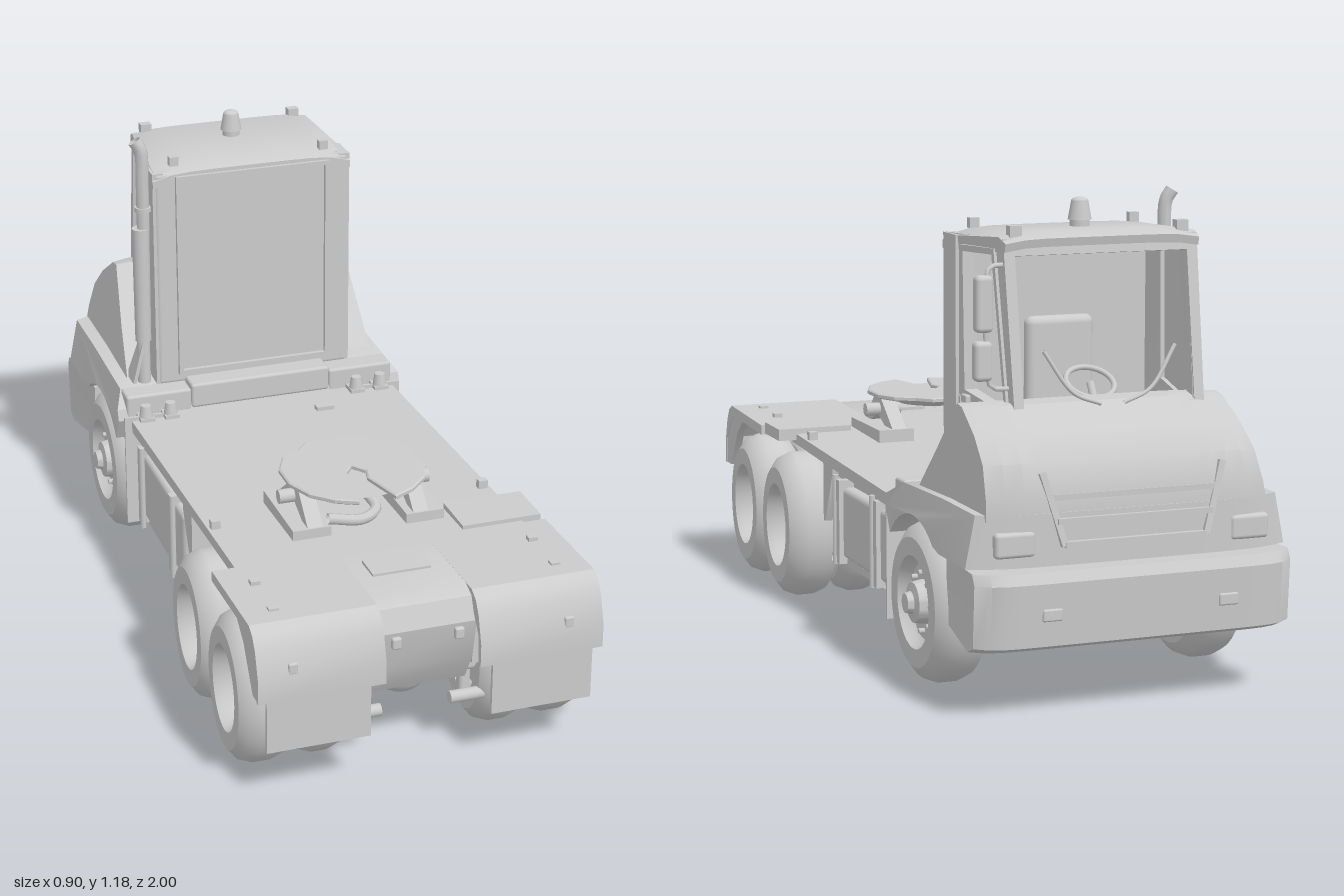
import * as THREE from 'three';
import { toCreasedNormals } from 'three/addons/utils/BufferGeometryUtils.js';
import { RoundedBoxGeometry } from 'three/addons/geometries/RoundedBoxGeometry.js';

export function createModel() {
  const root = new THREE.Group();
  const mat = new THREE.MeshStandardMaterial({ color: 0xcccccc, side: THREE.DoubleSide });
  const V = (x, y, z) => new THREE.Vector3(x, y, z);

  const add = (name, geo, x = 0, y = 0, z = 0, parent = root) => {
    const m = new THREE.Mesh(geo, mat);
    m.name = name;
    m.position.set(x, y, z);
    parent.add(m);
    return m;
  };
  // box given by its extents
  const box = (name, x0, x1, y0, y1, z0, z1, r = 0) => {
    const w = Math.abs(x1 - x0), h = y1 - y0, d = z1 - z0;
    const g = r ? new RoundedBoxGeometry(w, h, d, 3, r) : new THREE.BoxGeometry(w, h, d);
    return add(name, g, (x0 + x1) / 2, (y0 + y1) / 2, (z0 + z1) / 2);
  };
  const cyl = (name, r0, r1, h, x, y, z, axis = 'y', n = 20) => {
    const g = new THREE.CylinderGeometry(r1, r0, h, n);
    if (axis === 'x') g.rotateZ(-Math.PI / 2);
    return add(name, g, x, y, z);
  };
  const tube = (name, pts, r) =>
    add(name, new THREE.TubeGeometry(new THREE.CatmullRomCurve3(pts.map(p => V(...p))), 20, r, 8));
  const poly = pts => pts.map(p => new THREE.Vector2(...p));
  // (z, y) outline extruded between two x values, optionally reshaped by a rule
  const side = (name, pts, x0, x1, { holes = [], steps = 1, rule } = {}) => {
    const s = new THREE.Shape(poly(pts));
    holes.forEach(h => s.holes.push(new THREE.Path(poly(h))));
    const g = new THREE.ExtrudeGeometry(s, { depth: x1 - x0, bevelEnabled: false, steps });
    g.rotateY(-Math.PI / 2).translate(x1, 0, 0);
    if (rule) {
      const p = g.attributes.position, v = V(0, 0, 0);
      for (let i = 0; i < p.count; i++) { rule(v.fromBufferAttribute(p, i)); p.setXYZ(i, v.x, v.y, v.z); }
    }
    return add(name, toCreasedNormals(g, 0.5));
  };
  const both = fn => [1, -1].forEach(fn);
  const span = (s, a, b) => s > 0 ? [a, b] : [-b, -a];

  // ---- wheels ----
  const wheel = (name, x, z, s, w, squash, dish) => {
    const g = new THREE.Group();
    g.name = name;
    const h = w / 2;
    const pts = [[0, -h + 0.03], [0.1, -h + 0.03], [0.115, -h], [0.16, -h], [0.188, -h + 0.02], [0.2, -h + 0.05],
      [0.2, h - 0.05], [0.188, h - 0.02], [0.16, h], [0.115, h], [0.105, h - 0.02], [0.095, h - dish],
      [0.055, h - dish], [0.05, h - dish + 0.03], [0.028, h - dish + 0.035], [0.024, h - dish + 0.05], [0, h - dish + 0.05]];
    add('tyreAndRim', toCreasedNormals(new THREE.LatheGeometry(poly(pts), 40), 0.6), 0, 0, 0, g);
    for (let i = 0; i < 8; i++) {
      const a = i * Math.PI / 4;
      add('wheelNut', new THREE.CylinderGeometry(0.007, 0.007, 0.02, 6), 0.073 * Math.cos(a), h - dish + 0.005, 0.073 * Math.sin(a), g);
    }
    g.rotation.z = -s * Math.PI / 2;
    g.scale.z = squash;
    g.position.set(x * s, 0.203, z);
    root.add(g);
  };
  both(s => {
    wheel('frontWheel', 0.34, -0.55, s, 0.14, 0.98, 0.03);
    for (const z of [0.45, 0.765]) {
      wheel('rearInnerWheel', 0.233, z, s, 0.138, 0.78, 0.05);
      wheel('rearOuterWheel', 0.38, z, s, 0.145, 0.78, 0.085);
    }
  });
  for (const z of [-0.55, 0.45, 0.765]) {
    cyl('axle', 0.028, 0.028, 0.56, 0, 0.2, z, 'x');
    add('differential', new THREE.SphereGeometry(z < 0 ? 0.045 : 0.08, 20, 14), 0, 0.2, z);
  }

  // ---- chassis ----
  both(s => {
    const [a, b] = span(s, 0.13, 0.155);
    box('frameRail', a, b, 0.25, 0.41, -0.88, 0.92);
    box('towHook', s * 0.12, s * 0.15, 0.11, 0.25, 0.84, 0.87, 0.01);
    cyl('hookPin', 0.016, 0.016, 0.1, s * 0.14, 0.14, 0.88, 'x', 12);
    for (const z of [0.45, 0.765]) box('springPack', s * 0.125, s * 0.165, 0.2, 0.27, z - 0.11, z + 0.11, 0.015);
  });
  box('bellyPlate', -0.155, 0.155, 0.25, 0.27, -0.38, 0.3);
  for (const z of [0.6, 0.88]) box('crossMember', -0.14, 0.14, 0.25, 0.38, z - 0.012, z + 0.012);
  box('engineBlock', -0.24, 0.24, 0.22, 0.47, -0.88, -0.38);

  // ---- side tanks ----
  both(s => {
    box('sideTank', s * 0.15, s * 0.38, 0.18, 0.37, -0.28, 0.175, 0.015);
    for (const z of [-0.215, 0.085]) {
      box('tankStrap', s * 0.165, s * 0.392, 0.165, 0.39, z - 0.012, z + 0.012);
      cyl('strapBolt', 0.008, 0.008, 0.24, s * 0.39, 0.28, z + 0.025, 'y', 8);
    }
    box('tankBracket', s * 0.15, s * 0.37, 0.16, 0.18, -0.22, 0.12);
    side('deckGusset', [[0.25, 0.42], [0.25, 0.25], [0.235, 0.25], [0.17, 0.39], [0.17, 0.42]], ...span(s, 0.36, 0.378));
    box('frontMudFlap', s * 0.27, s * 0.4, 0.11, 0.43, -0.33, -0.322);
    tube('airLine', [[s * 0.15, 0.15, 0.2], [s * 0.25, 0.145, 0.22], [s * 0.36, 0.15, 0.23]], 0.012);
    tube('airLineDrop', [[s * 0.35, 0.15, 0.225], [s * 0.3, 0.17, 0.26], [s * 0.2, 0.19, 0.32]], 0.01);
  });

  // ---- deck and tail ----
  side('deck', [[-0.36, 0.385], [0.66, 0.425], [0.66, 0.453], [-0.36, 0.418]], -0.38, 0.38);
  side('deckFrontBeam', [[-0.36, 0.33], [-0.36, 0.39], [0.25, 0.41], [0.25, 0.38]], -0.35, 0.35);
  const tail = [[0.63, 0.425], [0.91, 0.435], [0.945, 0.41], [0.982, 0.36], [0.985, 0.285], [1, 0.285],
    [1, 0.345], [0.978, 0.415], [0.957, 0.447], [0.93, 0.462], [0.63, 0.452]];
  both(s => {
    side('tailPanel', tail, ...span(s, 0.12, 0.438));
    side('tailCheek', [[0.82, 0.435], [0.88, 0.39], [0.95, 0.285], [0.995, 0.285], [0.995, 0.345], [0.973, 0.41], [0.93, 0.455]],
      ...span(s, 0.415, 0.436));
    box('rearMudFlap', s * 0.155, s * 0.415, 0.145, 0.3, 0.983, 0.993);
    for (const x of [0.08, 0.35]) box('tailLamp', s * x - 0.012, s * x + 0.012, 0.35, 0.38, x > 0.1 ? 0.985 : 0.95, x > 0.1 ? 0.998 : 0.965, 0.005);
    for (const z of [0.4, 0.73, 0.87]) box('deckEye', s * 0.36 - 0.012, s * 0.36 + 0.012, 0.44, 0.466, z - 0.01, z + 0.01);
    for (const x of [0.27, 0.34]) {
      cyl('workLamp', 0.02, 0.014, 0.035, s * x, 0.445, -0.32, 'y', 12);
      box('workLampMount', s * x - 0.02, s * x + 0.02, 0.41, 0.43, -0.35, -0.3);
    }
  });
  side('tailCentre', [[0.63, 0.425], [0.88, 0.435], [0.915, 0.38], [0.91, 0.29], [0.87, 0.21], [0.89, 0.2], [0.935, 0.28],
    [0.955, 0.39], [0.93, 0.445], [0.89, 0.46], [0.63, 0.452]], -0.125, 0.125);
  box('deckHatch', -0.08, 0.07, 0.452, 0.463, 0.71, 0.79);
  box('deckStep', 0.22, 0.43, 0.43, 0.462, 0.485, 0.62);
  box('deckCap', 0.12, 0.17, 0.42, 0.434, -0.24, -0.215);

  // ---- coupling plate: narrow front lobe, wide shoulders, keyhole to the rear ----
  const half = [[0.065, -0.178], [0.1, -0.14], [0.15, -0.11], [0.178, -0.05], [0.178, 0.03], [0.15, 0.1], [0.1, 0.15], [0.05, 0.175]];
  const slot = [[0.02, 0.06], [0.03, 0.02], [0, -0.02]];
  const right = [...half, ...slot];
  const plate = new THREE.Shape(poly([...right, ...right.slice(0, -1).reverse().map(([x, z]) => [-x, z])]));
  add('couplingPlate', new THREE.ExtrudeGeometry(plate, { depth: 0.008, bevelSize: 0.004, bevelThickness: 0.003, bevelSegments: 1 })
    .rotateX(Math.PI / 2), 0, 0.563, 0.42);
  cyl('couplingUnderside', 0.1, 0.15, 0.025, 0, 0.542, 0.42, 'y', 28);
  both(s => {
    side('couplingPedestal', [[0.3, 0.47], [0.36, 0.47], [0.43, 0.5], [0.5, 0.47], [0.54, 0.47], [0.46, 0.545], [0.4, 0.545]], ...span(s, 0.12, 0.16));
    box('couplingFoot', s * 0.1, s * 0.2, 0.44, 0.475, 0.3, 0.54);
    cyl('couplingPivot', 0.018, 0.018, 0.1, s * 0.15, 0.515, 0.42, 'x', 12);
  });
  tube('airHose', [[0, 0.54, 0.5], [0.01, 0.52, 0.56], [-0.04, 0.515, 0.6], [-0.13, 0.53, 0.6]], 0.014);

  // ---- wings and lower nose, arched over the wheels ----
  const arch = [];
  for (let i = 0; i <= 12; i++) {
    const a = 0.72 + (Math.PI * 0.72 - 0.72) * (1 - i / 12);
    arch.push([-0.55 + 0.22 * Math.cos(a), 0.2 + 0.22 * Math.sin(a)]);
  }
  const roundNose = v => { if (v.z < -0.78) v.z += 0.04 * (Math.abs(v.x) / 0.41) ** 6; };
  side('wings', [[-0.35, 0.41], [-0.36, 0.44], [-0.42, 0.475], [-0.7, 0.485], [-0.948, 0.485], [-0.948, 0.36], [-0.73, 0.36], ...arch],
    -0.41, 0.41, { steps: 16, rule: v => { roundNose(v); if (v.y > 0.46) v.x *= 0.94; } });

  // ---- upper hood, narrower on the exhaust side ----
  side('hood', [[-0.47, 0.47], [-0.49, 0.49], [-0.6, 0.588], [-0.74, 0.72], [-0.79, 0.715], [-0.87, 0.66], [-0.925, 0.6],
    [-0.945, 0.52], [-0.945, 0.47]], -0.352, 0.365, {
    steps: 16,
    rule: v => {
      roundNose(v);
      if (v.x < 0) { v.y -= v.y > 0.56 ? 0.5 * v.x ** 4 : 0; v.x *= 1 - 0.55 * (v.y - 0.47); }
    } });
  side('bumper', [[-0.72, 0.19], [-0.72, 0.35], [-0.98, 0.355], [-0.995, 0.33], [-0.985, 0.18], [-0.95, 0.165]], -0.405, 0.405, {
    steps: 24,
    rule: v => {
      if (v.z < -0.9) v.z += 0.04 * (Math.abs(v.x) / 0.405) ** 12;
      else if (v.z > -0.8) v.x *= 0.95;
    } });
  const grille = new THREE.Group();
  grille.name = 'grille';
  for (let i = 0; i < 4; i++) {
    const w = 0.36 + 0.035 * i;
    add('grilleSlat', new THREE.BoxGeometry(w, 0.014, 0.025), 0, 0.41 + 0.055 * i, 0.004 * i * i, grille);
  }
  both(s => {
    add('grilleSide', new THREE.BoxGeometry(0.016, 0.18, 0.025), s * 0.205, 0.492, 0.012, grille).rotation.set(0.12, 0, -s * 0.28);
    box('headlamp', s * 0.25, s * 0.35, 0.385, 0.445, -0.95, -0.9, 0.01);
    box('bumperLamp', s * 0.2, s * 0.25, 0.24, 0.27, -0.995, -0.97, 0.005);
  });
  grille.position.z = -0.95;
  root.add(grille);

  // ---- cab shell: open windscreen and left window, glazed right window ----
  const taper = v => { const t = Math.max(0, (-0.5 - v.z) / 0.28); v.x *= 1 - 0.12 * t; };
  const shell = [[-0.42, 0.47], [-0.42, 1.09], [-0.735, 1.1], [-0.80, 0.68], [-0.78, 0.5]];
  const glass = [[-0.555, 0.72], [-0.545, 1.055], [-0.69, 1.06], [-0.755, 0.69]];
  both(s => {
    side('cabSide', shell, ...span(s, 0.25, 0.275), { holes: [glass], rule: taper });
    side('windowFrame', [[-0.54, 0.7], [-0.53, 1.07], [-0.7, 1.075], [-0.77, 0.67]], ...span(s, 0.272, 0.283), { holes: [glass], rule: taper });
    side('doorSeam', [[-0.53, 0.5], [-0.53, 0.7], [-0.522, 0.7], [-0.522, 0.5]], ...span(s, 0.27, 0.279));
    box('doorHandle', s * 0.27, s * 0.285, 0.69, 0.71, -0.585, -0.55, 0.004);
    side('cabCorner', [[-0.42, 0.475], [-0.42, 1.09], [-0.505, 1.09], [-0.505, 0.475]], ...span(s, 0.255, 0.28));
    box('roofLamp', s * 0.2, s * 0.225, 1.1, 1.125, -0.46, -0.44);
    box('roofMarker', s * 0.2, s * 0.23, 1.1, 1.13, -0.735, -0.71);
  });
  side('windowPane', glass, -0.266, -0.262, { rule: taper });
  box('backWall', -0.275, 0.275, 0.47, 1.09, -0.45, -0.417, 0.012);
  both(s => box('backPanelTrim', s * 0.206, s * 0.218, 0.5, 1.08, -0.42, -0.405));
  for (const y of [0.5, 1.068]) box('backPanelTrim', -0.21, 0.21, y, y + 0.012, -0.42, -0.405);
  side('roof', [[-0.415, 1.07], [-0.415, 1.09], [-0.45, 1.105], [-0.72, 1.115], [-0.755, 1.1], [-0.75, 1.08]], -0.28, 0.28,
    { steps: 10, rule: v => { taper(v); v.y -= 0.02 * (Math.abs(v.x) / 0.28) ** 6; } });
  const screen = new THREE.Shape(poly([[-0.245, 0], [0.245, 0], [0.25, 0.425], [-0.25, 0.425]]));
  screen.holes.push(new THREE.Path(poly([[-0.22, 0.025], [0.22, 0.025], [0.222, 0.385], [-0.222, 0.385]])));
  add('windscreenFrame', new THREE.ExtrudeGeometry(screen, { depth: 0.018, bevelEnabled: false }), 0, 0.68, -0.805).rotation.x = 0.155;
  both(s => tube('wiper', [[s * 0.03, 0.71, -0.815], [s * 0.1, 0.74, -0.81], [s * 0.17, 0.84, -0.795]], 0.005));

  // ---- cab interior ----
  box('cabFloor', -0.26, 0.26, 0.47, 0.5, -0.78, -0.43);
  box('dashboard', -0.235, 0.235, 0.62, 0.71, -0.78, -0.72, 0.015);
  box('seatCushion', -0.09, 0.09, 0.6, 0.65, -0.63, -0.47, 0.02);
  box('seatBack', -0.09, 0.09, 0.63, 0.88, -0.5, -0.46, 0.02);
  box('seatBase', -0.06, 0.06, 0.49, 0.61, -0.6, -0.48);
  add('steeringWheel', new THREE.TorusGeometry(0.06, 0.007, 8, 28), 0, 0.74, -0.68).rotation.x = 1.05;
  tube('steeringColumn', [[0, 0.74, -0.68], [0, 0.7, -0.705], [0, 0.64, -0.74]], 0.01);

  // ---- step beam behind the cab ----
  box('rearBeam', -0.2, 0.2, 0.42, 0.49, -0.42, -0.35, 0.008);
  both(s => box('rearBeamEnd', s * 0.2, s * 0.385, 0.41, 0.478, -0.42, -0.352, 0.008));

  // ---- beacon, exhaust and mirrors ----
  cyl('beaconBase', 0.024, 0.024, 0.02, 0, 1.122, -0.61);
  cyl('beaconLens', 0.029, 0.021, 0.045, 0, 1.15, -0.61);
  add('beaconCap', new THREE.SphereGeometry(0.021, 16, 8, 0, 2 * Math.PI, 0, Math.PI / 2), 0, 1.172, -0.61).scale.y = 0.5;
  cyl('silencer', 0.022, 0.024, 0.33, -0.308, 0.765, -0.45);
  cyl('exhaustLower', 0.018, 0.018, 0.15, -0.308, 0.54, -0.45);
  tube('exhaustStack', [[-0.3, 0.92, -0.45], [-0.3, 1.05, -0.45], [-0.3, 1.13, -0.45], [-0.304, 1.155, -0.451], [-0.318, 1.178, -0.455]], 0.018);
  cyl('exhaustClamp', 0.023, 0.023, 0.012, -0.3, 0.985, -0.45);
  side('exhaustBracket', [[-0.43, 0.48], [-0.43, 0.6], [-0.47, 0.6], [-0.5, 0.48]], -0.345, -0.335,
    { rule: v => { v.x += (v.y - 0.48) * 0.25; } });
  box('mirrorLarge', 0.283, 0.327, 0.885, 1.02, -0.77, -0.735, 0.012);
  box('mirrorSmall', 0.285, 0.33, 0.77, 0.865, -0.77, -0.735, 0.012);
  tube('mirrorArm', [[0.24, 1.04, -0.73], [0.29, 1.035, -0.75], [0.298, 1.0, -0.755], [0.295, 0.8, -0.755], [0.285, 0.755, -0.755], [0.235, 0.75, -0.76]], 0.006);
  return root;
}
